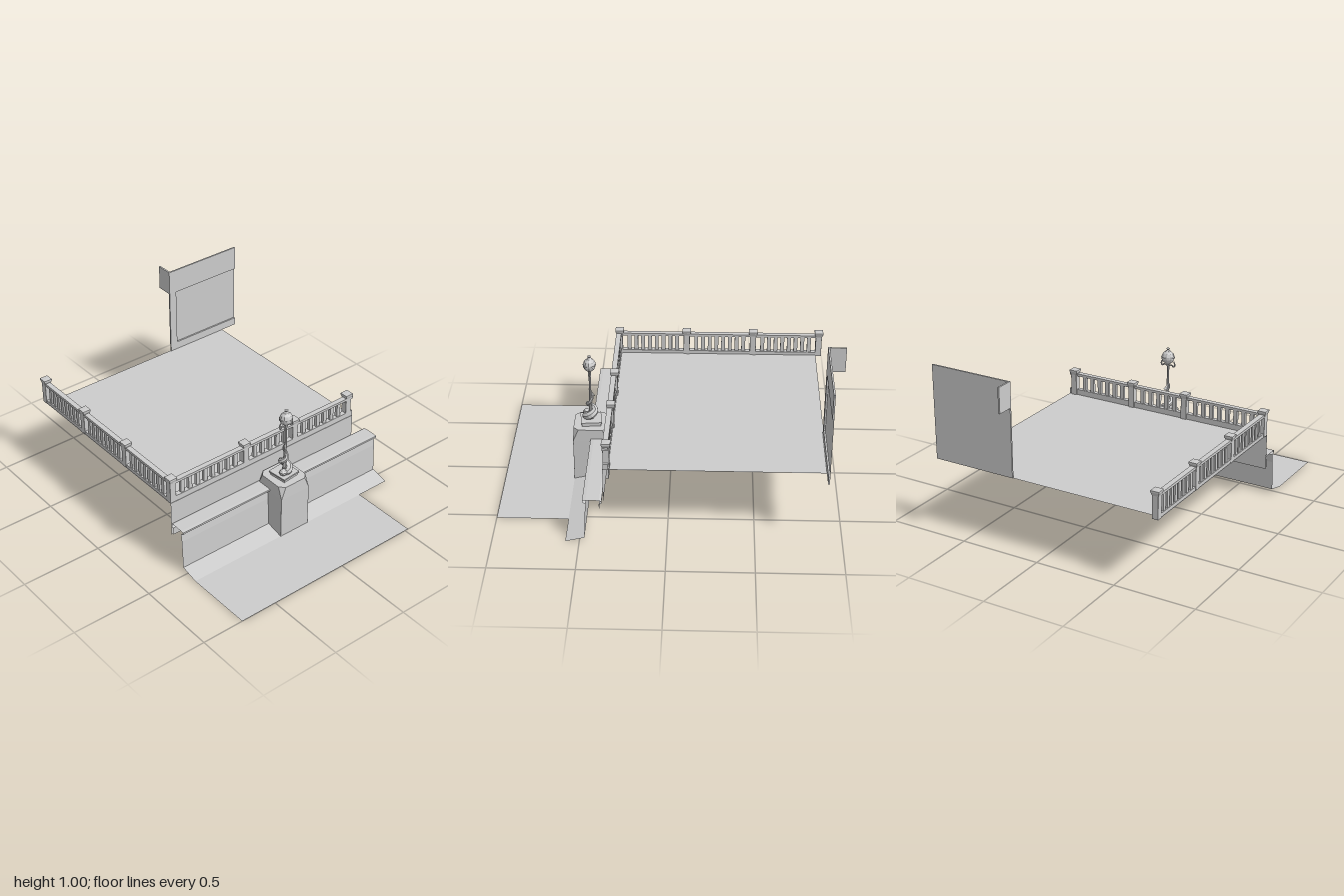
import * as THREE from 'three';

const stone = new THREE.MeshStandardMaterial({ color: 0xcccccc, side: THREE.DoubleSide, flatShading: true });
stone.name = 'grey stone';

function add(parent, name, geometry, x = 0, y = 0, z = 0) {
  const m = new THREE.Mesh(geometry, stone);
  m.name = name;
  m.position.set(x, y, z);
  parent.add(m);
  return m;
}

// Box given by its limits on each axis
function block(parent, name, [x0, x1], [y0, y1], [z0, z1]) {
  return add(parent, name, new THREE.BoxGeometry(x1 - x0, y1 - y0, z1 - z0),
    (x0 + x1) / 2, (y0 + y1) / 2, (z0 + z1) / 2);
}

// Skin between successive rings of points
function loft(rings, closed) {
  const n = rings[0].length, index = [];
  for (let i = 0; i < rings.length - 1; i++) {
    for (let j = 0; j < (closed ? n : n - 1); j++) {
      const k = (j + 1) % n, a = i * n + j, b = i * n + k;
      index.push(a, b, b + n, a, b + n, a + n);
    }
  }
  const g = new THREE.BufferGeometry();
  g.setAttribute('position', new THREE.Float32BufferAttribute(rings.flat(2), 3));
  g.setIndex(index);
  g.computeVertexNormals();
  return g;
}

// Square ring of half width w with corners cut by c
function squareRing(w, c, y) {
  const d = w - c;
  return [[w, d], [w, -d], [d, -w], [-d, -w], [-w, -d], [-w, d], [-d, w], [d, w]].map(([x, z]) => [x, y, z]);
}

// Horizontal sheet
function sheet(parent, name, x0, x1, z0, z1, y) {
  add(parent, name, new THREE.PlaneGeometry(x1 - x0, z1 - z0).rotateX(-Math.PI / 2),
    (x0 + x1) / 2, y, (z0 + z1) / 2);
}

// Tube whose radius follows a list of values along its length
function taperTube(points, radii, segments, sides) {
  const curve = new THREE.CatmullRomCurve3(points.map(p => new THREE.Vector3(...p)));
  const g = new THREE.TubeGeometry(curve, segments, 1, sides);
  const pos = g.attributes.position, v = new THREE.Vector3();
  for (let i = 0; i <= segments; i++) {
    const t = i / segments, f = t * (radii.length - 1), k = Math.min(Math.floor(f), radii.length - 2);
    const r = THREE.MathUtils.lerp(radii[k], radii[k + 1], f - k), c = curve.getPointAt(t);
    for (let j = 0; j <= sides; j++) {
      const id = i * (sides + 1) + j;
      v.fromBufferAttribute(pos, id).sub(c).multiplyScalar(r).add(c);
      pos.setXYZ(id, v.x, v.y, v.z);
    }
  }
  g.computeVertexNormals();
  return g;
}

// Run of railing along local x, with posts at the given stations
function balustrade(name, stations, end, spacing, baseTop) {
  const g = new THREE.Group();
  g.name = name;
  block(g, 'rail', [stations[0], end], [0.55, 0.566], [-0.014, 0.018]);
  block(g, 'railingBase', [stations[0], end], [0.422, baseTop], [-0.014, 0.016]);
  for (let i = 0; i < stations.length - 1; i++) {
    const a = stations[i] + 0.018, b = stations[i + 1] - 0.018;
    const count = Math.round((b - a) / spacing) - 1;
    for (let k = 1; k <= count; k++) {
      const x = a + (b - a) * k / (count + 1);
      block(g, 'baluster', [x - 0.012, x + 0.012], [baseTop, 0.55], [-0.01, 0.01]);
    }
  }
  return g;
}

function post(parent, x, z) {
  add(parent, 'post', loft([
    squareRing(0.019, 0.0005, 0.422), squareRing(0.019, 0.0005, 0.558), squareRing(0.026, 0.0005, 0.578),
    squareRing(0.026, 0.0005, 0.588), squareRing(0.0002, 0.0001, 0.59)], true), x, 0, z);
}

function createLamp() {
  const g = new THREE.Group();
  g.name = 'lamp';
  // Stepped plinth, slightly turned
  const lower = block(g, 'plinthStep', [-0.056, 0.056], [0.345, 0.362], [-0.056, 0.056]);
  const upper = block(g, 'plinthTop', [-0.062, 0.062], [0.362, 0.371], [-0.062, 0.062]);
  lower.rotation.y = upper.rotation.y = 0.1;
  // Pole and the fish coiled around its foot
  add(g, 'pole', taperTube([[0, 0.37, 0], [0.002, 0.45, 0], [0.006, 0.56, 0], [0.004, 0.7, 0]],
    [0.014, 0.01, 0.009, 0.007, 0.006, 0.01], 12, 7));
  add(g, 'fishBody', taperTube([[-0.03, 0.387, 0.032], [0.004, 0.39, 0.03], [0.026, 0.405, 0], [0.004, 0.428, -0.026],
    [-0.018, 0.45, 0], [0, 0.47, 0.018], [0.014, 0.492, 0], [0.004, 0.52, -0.012], [-0.006, 0.548, 0], [0.004, 0.575, 0.006]],
  [0.012, 0.024, 0.026, 0.022, 0.018, 0.014, 0.011, 0.009, 0.006, 0.003], 36, 7));
  const head = add(g, 'fishHead', new THREE.SphereGeometry(1, 8, 5), -0.03, 0.391, 0.028);
  head.scale.set(0.026, 0.02, 0.024);
  const fin = add(g, 'tailFin', new THREE.ConeGeometry(0.018, 0.045, 4), 0.005, 0.55, -0.008);
  fin.scale.z = 0.4;
  fin.rotation.set(0.2, 0.9, 0.25);
  // Globe, collar and crown
  add(g, 'collar', new THREE.CylinderGeometry(0.018, 0.008, 0.018, 8), 0.005, 0.698, 0);
  const globe = add(g, 'globe', new THREE.SphereGeometry(0.042, 10, 7), 0.006, 0.74, 0);
  globe.scale.set(1, 1, 0.9);
  add(g, 'globeBand', new THREE.CylinderGeometry(0.043, 0.043, 0.005, 10), 0.006, 0.742, 0).scale.z = 0.9;
  const crown = [[0.018, 0.777], [0.012, 0.784], [0.006, 0.789], [0.012, 0.798], [0, 0.8]];
  add(g, 'crown', new THREE.LatheGeometry(crown.map(p => new THREE.Vector2(...p)), 8), 0.006, 0, 0);
  // Curled arms on either side of the globe
  for (const s of [-1, 1]) {
    add(g, 'lampArm', taperTube([[0.005, 0.684, 0], [0.005 + s * 0.025, 0.692, 0], [0.005 + s * 0.04, 0.683, 0],
      [0.005 + s * 0.047, 0.698, 0], [0.005 + s * 0.039, 0.72, 0]], [0.005, 0.004, 0.005, 0.005, 0.003], 14, 5));
  }
  g.position.z = 0.478;
  return g;
}

export function createModel() {
  const model = new THREE.Group();
  model.name = 'riversideTerrace';

  // Ground and terrace surfaces
  sheet(model, 'lowerGround', -0.735, 0.525, 0.58, 1, 0);
  sheet(model, 'terraceFloor', -0.735, 0.632, -0.9, 0.366, 0.425);
  add(model, 'terraceWall', new THREE.PlaneGeometry(1.37, 0.222), -0.05, 0.314, 0.366);

  // Embankment wall: sloped foot, face and overhanging coping
  const profile = [[0.58, 0], [0.47, 0.027], [0.462, 0.21], [0.456, 0.262], [0.476, 0.272], [0.476, 0.284],
    [0.456, 0.286], [0.38, 0.286], [0.367, 0.28], [0.367, 0.267], [0.382, 0.26], [0.382, 0.212]];
  add(model, 'embankmentWall', loft([0.74, -0.735].map(x => profile.map(([z, y]) => [x, y, z])), false));

  // Pedestal with cut upper corners
  add(model, 'pedestal', loft([
    squareRing(0.104, 0.0003, 0), squareRing(0.104, 0.0003, 0.268),
    squareRing(0.102, 0.03, 0.345), squareRing(0.0002, 0.0001, 0.345)], true), 0, 0, 0.477);
  model.add(createLamp());

  // Balustrades along the front and the right side
  const frontStations = [-0.715, -0.19, 0.18, 0.6], sideStations = [-0.345, 0.08, 0.5, 0.915];
  const front = balustrade('frontBalustrade', frontStations, 0.634, 0.054, 0.46);
  front.position.z = 0.348;
  const side = balustrade('sideBalustrade', sideStations, 0.915, 0.042, 0.446);
  side.rotation.y = Math.PI / 2;
  side.position.x = -0.718;
  model.add(front, side);
  frontStations.forEach(x => post(model, x, 0.345));
  sideStations.slice(1).forEach(s => post(model, -0.715, -s));

  // Rear wall piece: frame around a recessed panel, with a short return at the top
  const frame = new THREE.Shape([[0.215, 0.425], [0.74, 0.425], [0.74, 0.475], [0.265, 0.475],
    [0.265, 0.845], [0.74, 0.845], [0.74, 1], [0.215, 1]].map(p => new THREE.Vector2(...p)));
  const wall = new THREE.Group();
  wall.name = 'rearWall';
  add(wall, 'wallFrame', new THREE.ExtrudeGeometry(frame, { depth: 0.01, bevelEnabled: false }), 0, 0, -0.904);
  add(wall, 'recessedPanel', new THREE.PlaneGeometry(0.475, 0.37), 0.5025, 0.66, -0.904);
  block(wall, 'wallReturn', [0.215, 0.225], [0.845, 1], [-1, -0.904]);
  model.add(wall);

  return model;
}
